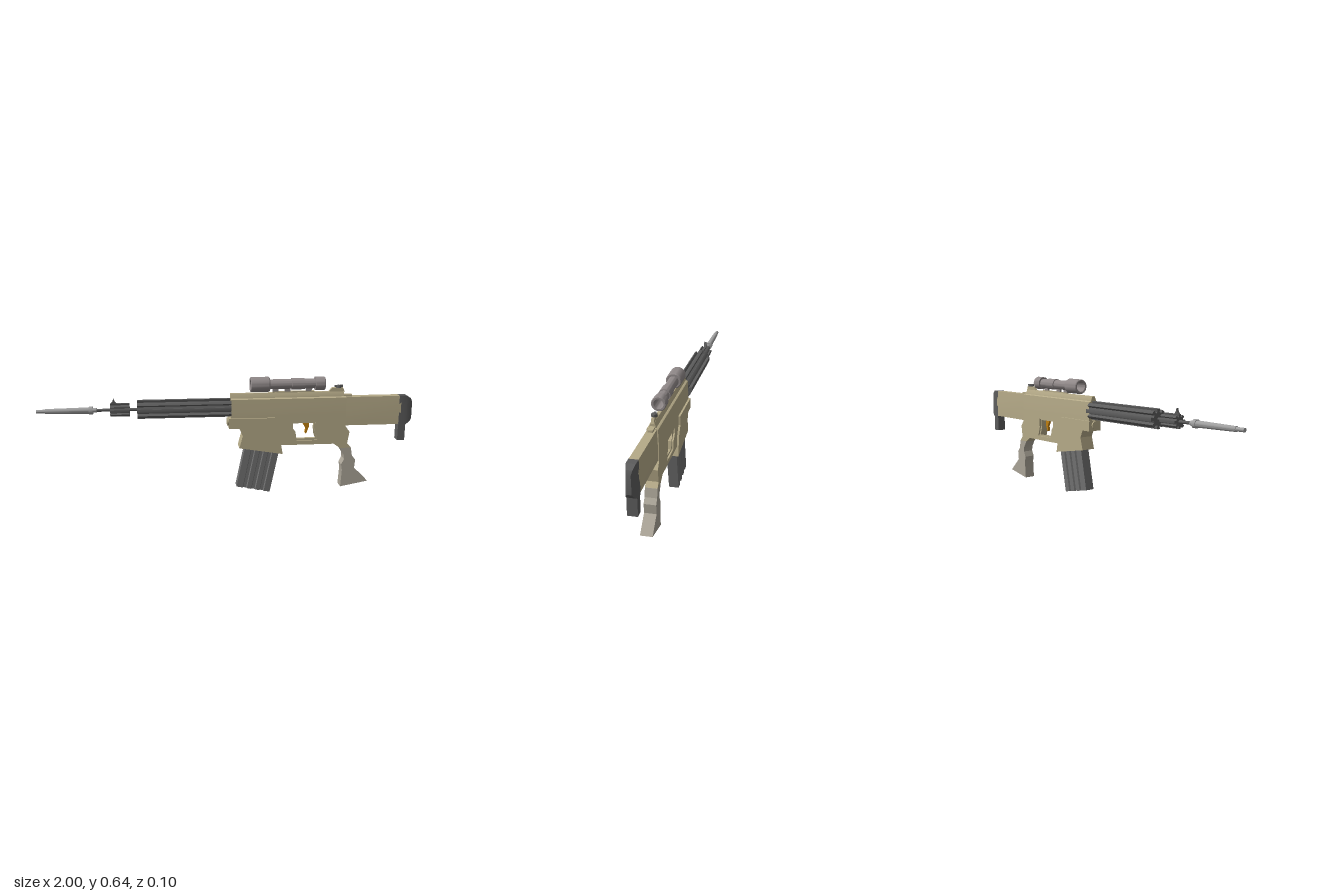
import * as THREE from 'three';
import { toCreasedNormals } from 'three/addons/utils/BufferGeometryUtils.js';

const material = (color) => new THREE.MeshStandardMaterial({ color });
const TAN = material(0xb5aa88), GRIP = material(0xaba598), DARK = material(0x5c5c5c);
const MAG = material(0x707070), METAL = material(0xa0a0a0), SCOPE = material(0x8f8888);
const BLACK = material(0x222222), ORANGE = material(0xc07f10);
const AXIS = 0.48; // height of the barrel line

const toShape = (pts) => new THREE.Shape(pts.map(([x, y]) => new THREE.Vector2(x, y)));

// Side profile (x, y) given thickness 2 * half across z
function plate(pts, half, hole) {
  const shape = toShape(pts);
  if (hole) shape.holes.push(toShape(hole));
  return new THREE.ExtrudeGeometry(shape, { depth: half * 2, bevelEnabled: false }).translate(0, 0, -half);
}

// Cross-section (z, y) swept along x
function sweepX(pts, x0, x1) {
  return new THREE.ExtrudeGeometry(toShape(pts), { depth: x1 - x0, bevelEnabled: false })
    .rotateY(Math.PI / 2).translate(x0, 0, 0);
}

// Mirrors the right half of a cross-section listed from bottom to top
const mirrored = (half) => [...half, ...half.map(([z, y]) => [-z, y]).reverse()];

// Turned part around x from (x, radius) points
function turnX(pts, y, sides = 24) {
  return new THREE.LatheGeometry(pts.map(([x, r]) => new THREE.Vector2(r, x)), sides)
    .rotateZ(-Math.PI / 2).translate(0, y, 0);
}

function box(x0, x1, y0, y1, half) {
  return new THREE.BoxGeometry(x1 - x0, y1 - y0, half * 2).translate((x0 + x1) / 2, (y0 + y1) / 2, 0);
}

// Ribbed round section with teeth widening outward
function ribbed(outer, inner, teeth) {
  const pts = [];
  for (let i = 0; i < teeth; i++) {
    const a = (i / teeth) * Math.PI * 2, step = Math.PI / teeth;
    for (const [r, f] of [[inner, -0.55], [outer, -0.52], [outer * 1.02, 0], [outer, 0.52], [inner, 0.55]]) {
      pts.push([r * Math.cos(a + f * step), AXIS + r * Math.sin(a + f * step)]);
    }
  }
  return pts;
}

// Box-like loft through sections [x, halfBottom, halfTop, y0, y1]
function loftX(sections) {
  const pos = [], index = [];
  for (const [x, b, t, y0, y1] of sections) pos.push(x, y0, b, x, y0, -b, x, y1, -t, x, y1, t);
  for (let s = 0; s < sections.length - 1; s++) {
    for (let i = 0; i < 4; i++) {
      const a = s * 4 + i, b = s * 4 + (i + 1) % 4;
      index.push(a, b, b + 4, a, b + 4, a + 4);
    }
  }
  const e = (sections.length - 1) * 4;
  index.push(0, 2, 1, 0, 3, 2, e, e + 1, e + 2, e, e + 2, e + 3);
  const g = new THREE.BufferGeometry();
  g.setAttribute('position', new THREE.Float32BufferAttribute(pos, 3));
  g.setIndex(index);
  return g;
}

export function createModel() {
  const model = new THREE.Group();
  model.name = 'rifle';
  const add = (name, geometry, mat) => {
    const mesh = new THREE.Mesh(toCreasedNormals(geometry, 0.5), mat);
    mesh.name = name;
    model.add(mesh);
    return mesh;
  };

  // Muzzle, barrel, front sight and handguard
  add('muzzle', turnX([[-1, 0], [-1, 0.010], [-0.955, 0.010], [-0.955, 0.013], [-0.73, 0.017], [-0.73, 0.021],
    [-0.71, 0.021], [-0.71, 0.012], [-0.69, 0.012], [-0.69, 0]], AXIS, 16), METAL);
  add('barrel', turnX([[-0.7, 0.008], [-0.47, 0.008]], AXIS, 12), DARK);
  add('frontSightBlock', sweepX(ribbed(0.035, 0.024, 8), -0.62, -0.52), DARK);
  add('frontSightPost', plate([[-0.62, 0.512], [-0.585, 0.512], [-0.597, 0.525], [-0.603, 0.542], [-0.608, 0.525]], 0.006), DARK);
  add('handguard', sweepX(ribbed(0.05, 0.033, 8), -0.48, 0.012), DARK);

  // Receiver with the trigger opening
  const opening = [[0.318, 0.395], [0.465, 0.395], [0.465, 0.345], [0.48, 0.293], [0.355, 0.293], [0.35, 0.335], [0.318, 0.365]];
  const inner = [[0.345, 0.388], [0.46, 0.388], [0.455, 0.34], [0.468, 0.303], [0.366, 0.303], [0.36, 0.34], [0.345, 0.36]];
  add('lowerReceiver', plate([[0.01, 0.43], [0.01, 0.375], [0.06, 0.37], [0.075, 0.33], [0.06, 0.27], [0.27, 0.27],
    [0.57, 0.27], [0.605, 0.245], [0.667, 0.245], [0.645, 0.27], [0.655, 0.335], [0.63, 0.37], [0.63, 0.43]], 0.03, opening), TAN);
  add('triggerFrame', plate(opening, 0.022, inner), TAN);
  add('upperReceiver', sweepX(mirrored([[0.03, 0.425], [0.03, 0.455], [0.027, 0.525], [0.017, 0.53]]), 0.01, 0.63), TAN);
  add('topRidge', sweepX(mirrored([[0.017, 0.525], [0.016, 0.535], [0.008, 0.555]]), 0.01, 0.62), TAN);
  add('ridgeEnd', box(0.6, 0.665, 0.51, 0.537, 0.012), TAN);
  add('magazineWell', plate([[0, 0.425], [0.245, 0.425], [0.24, 0.375], [0.27, 0.33], [0.29, 0.223],
    [0.055, 0.262], [0.073, 0.33], [0.055, 0.37], [0, 0.37]], 0.04), TAN);
  add('frontLug', turnX([[-0.008, 0], [-0.008, 0.022], [0.02, 0.022], [0.02, 0]], 0.402, 12), TAN);
  add('trigger', plate([[0.395, 0.395], [0.437, 0.395], [0.436, 0.365], [0.422, 0.325], [0.414, 0.33], [0.418, 0.355]], 0.007), ORANGE);

  // Grip
  add('grip', plate([[0.605, 0.246], [0.63, 0.205], [0.632, 0.18], [0.617, 0.15], [0.623, 0.118], [0.617, 0.022],
    [0.767, 0.05], [0.69, 0.125], [0.695, 0.175], [0.675, 0.2], [0.667, 0.246]], 0.03), GRIP);

  // Magazine: grooved section extruded along a leaning axis
  const side = [[-0.093, 0.026]];
  for (const x of [-0.047, 0, 0.047]) {
    side.push([x - 0.012, 0.027], [x - 0.008, 0.018], [x + 0.008, 0.018], [x + 0.012, 0.027]);
  }
  side.push([0.093, 0.026]);
  const section = [...side, ...side.map(([x, z]) => [x, -z]).reverse()];
  const magazine = add('magazine', new THREE.ExtrudeGeometry(toShape(section), { depth: 0.26, bevelEnabled: false })
    .rotateX(-Math.PI / 2), MAG);
  magazine.position.set(0.133, 0.022, 0);
  magazine.rotation.z = -0.2;

  // Stock and butt
  add('stock', sweepX(mirrored([[0.024, 0.37], [0.025, 0.45], [0.021, 0.526]]), 0.61, 0.935), TAN);
  add('buttPad', loftX([[0.925, 0.027, 0.022, 0.366, 0.527], [0.965, 0.026, 0.021, 0.366, 0.527],
    [0.99, 0.018, 0.014, 0.385, 0.51], [1, 0.011, 0.009, 0.4, 0.49]]), DARK);
  add('buttLeg', box(0.925, 0.965, 0.278, 0.38, 0.024), DARK);

  // Scope: hollow tube with mounts and crosshair
  add('scope', turnX([[0.515, 0.024], [0.45, 0.021], [0.23, 0.021], [0.117, 0.028], [0.115, 0.036], [0.119, 0.04],
    [0.212, 0.04], [0.218, 0.036], [0.218, 0.026], [0.335, 0.026], [0.335, 0.03], [0.405, 0.03], [0.405, 0.026],
    [0.462, 0.026], [0.462, 0.035], [0.512, 0.036], [0.515, 0.033], [0.515, 0.024]], 0.6, 28), SCOPE);
  add('crosshairVertical', box(0.342, 0.346, 0.579, 0.621, 0.0015), BLACK);
  add('crosshairHorizontal', box(0.342, 0.346, 0.5985, 0.6015, 0.021), BLACK);
  for (const x of [0.25, 0.315, 0.43]) add('scopeMount', box(x - 0.015, x + 0.015, 0.55, 0.577, 0.006), SCOPE);
  add('mountRail', box(0.235, 0.46, 0.55, 0.561, 0.007), TAN);

  // Rear sight
  add('rearSightBase', plate([[0.535, 0.55], [0.625, 0.55], [0.615, 0.575], [0.555, 0.575]], 0.007), TAN);
  add('rearSight', new THREE.CylinderGeometry(0.013, 0.015, 0.012, 12).translate(0.592, 0.581, 0), DARK);
  add('rearSightBar', box(0.57, 0.615, 0.579, 0.588, 0.006), DARK);
  return model;
}
